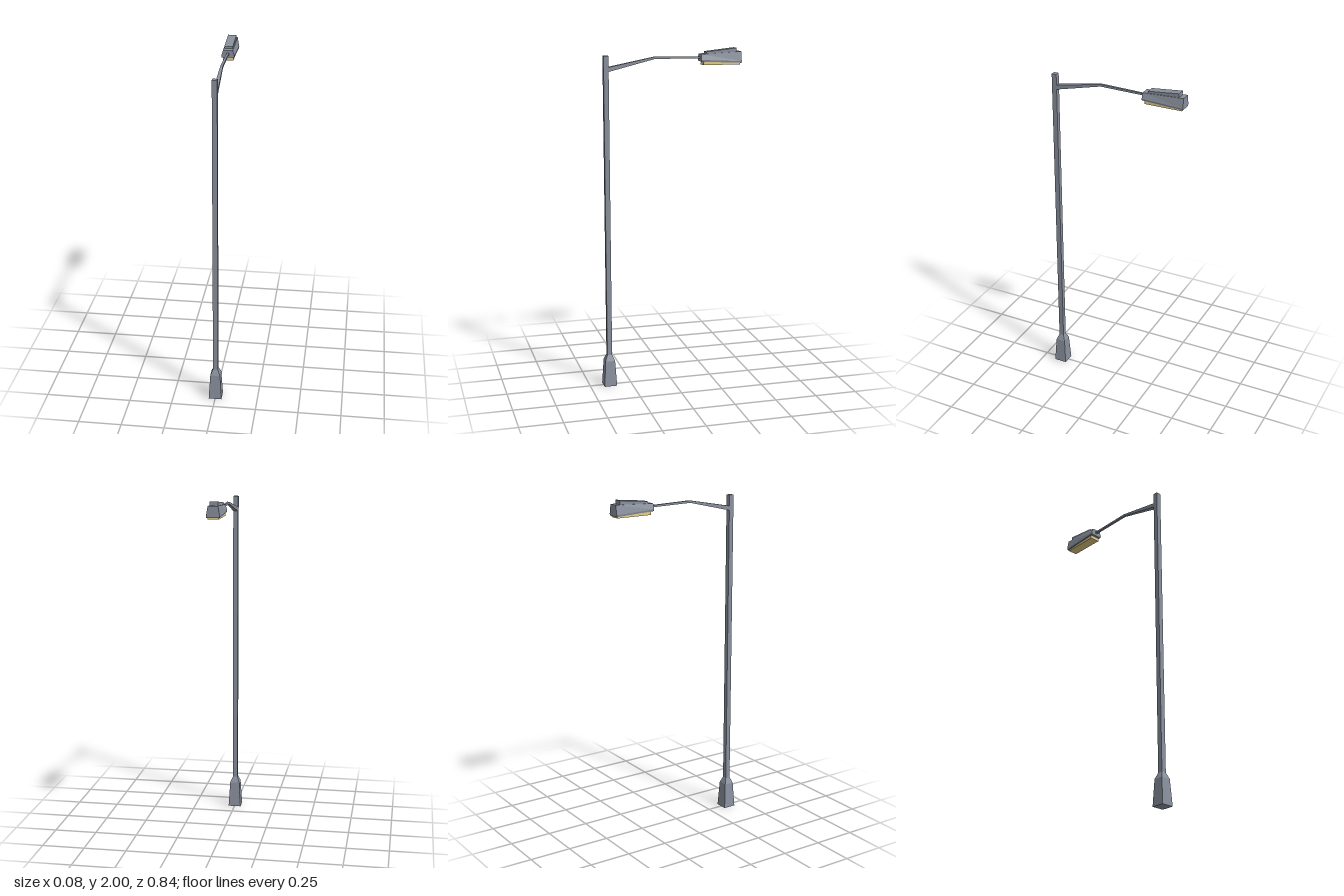
import * as THREE from 'three';

const metal = new THREE.MeshStandardMaterial({ color: 0x8a919e });
metal.name = 'grey metal';
const glow = new THREE.MeshStandardMaterial({ color: 0xe3cd85 });
glow.name = 'warm lens';

// Closed, flat-shaded skin through rings of points (rings wind with the travel direction)
function loft(name, rings, material) {
  const pos = [];
  const tri = (...pts) => pts.forEach((p) => pos.push(...p));
  const n = rings[0].length;
  const last = rings[rings.length - 1];
  for (let i = 0; i < rings.length - 1; i++) {
    for (let j = 0; j < n; j++) {
      const k = (j + 1) % n;
      const a = rings[i][j], b = rings[i][k], c = rings[i + 1][k], d = rings[i + 1][j];
      tri(a, b, c);
      tri(a, c, d);
    }
  }
  for (let j = 1; j < n - 1; j++) {
    tri(rings[0][0], rings[0][j + 1], rings[0][j]);
    tri(last[0], last[j], last[j + 1]);
  }
  const geometry = new THREE.BufferGeometry();
  geometry.setAttribute('position', new THREE.Float32BufferAttribute(pos, 3));
  geometry.computeVertexNormals();
  const mesh = new THREE.Mesh(geometry, material);
  mesh.name = name;
  return mesh;
}

const POLE_Z = 0.381;

// Square ring around the pole axis, travelling up
const square = (y, h) => [[1, 1], [1, -1], [-1, -1], [-1, 1]].map(([x, z]) => [x * h, y, POLE_Z + z * h]);

// Upright rectangle across x, travelling towards -z
const rect = (z, w, bottom, top) => [[w, top, z], [w, bottom, z], [-w, bottom, z], [-w, top, z]];

// Lamp housing section: sloped sides above a narrow rim
const housing = (z, bottom, top) => [
  [0.028, top, z], [0.038, bottom + 0.01, z], [0.036, bottom, z],
  [-0.036, bottom, z], [-0.038, bottom + 0.01, z], [-0.028, top, z],
];

export function createModel() {
  const group = new THREE.Group();
  group.name = 'streetLamp';

  // Tapered foot with a sloped shoulder
  group.add(loft('base', [square(0, 0.038), square(0.155, 0.029), square(0.19, 0.0145)], metal));
  group.add(loft('pole', [square(0.17, 0.0145), square(1.97, 0.0145)], metal));

  // Bent arm, thinning away from the pole
  group.add(loft('arm', [
    rect(0.37, 0.0142, 1.879, 1.905),
    rect(0.092, 0.0068, 1.946, 1.959),
    rect(-0.19, 0.0065, 1.942, 1.953),
  ], metal));

  // Lamp head
  group.add(loft('lampHousing', [housing(-0.175, 1.926, 1.968), housing(-0.418, 1.914, 1.979)], metal));
  group.add(loft('lampTopCover', [
    rect(-0.207, 0.0245, 1.96, 1.981),
    rect(-0.389, 0.0245, 1.96, 2.0),
  ], metal));
  group.add(loft('lampLens', [
    rect(-0.19, 0.03, 1.905, 1.93),
    rect(-0.41, 0.03, 1.905, 1.93),
  ], glow));

  return group;
}
